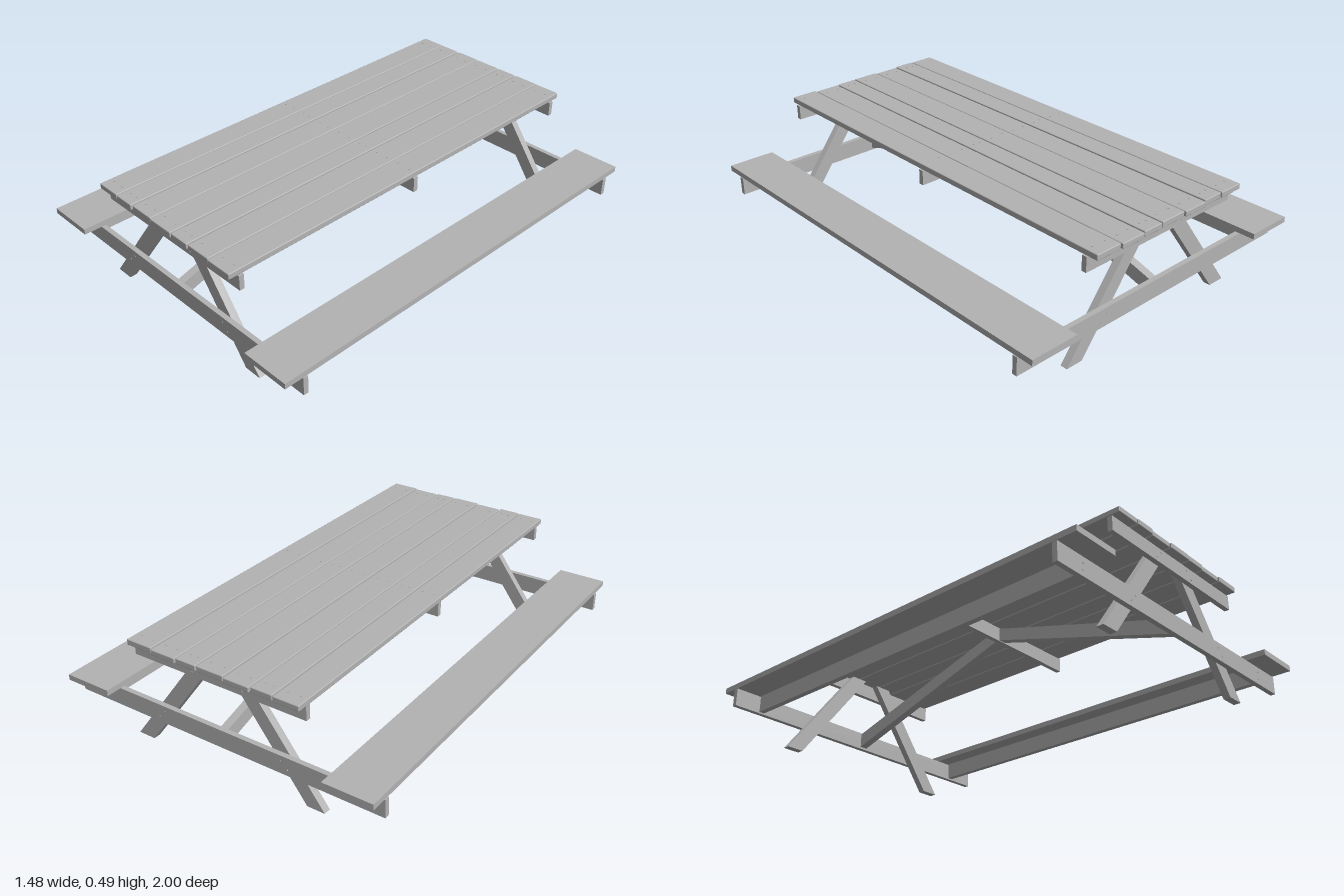
import * as THREE from 'three';
import { RoundedBoxGeometry } from 'three/addons/geometries/RoundedBoxGeometry.js';

export function createModel() {
  const table = new THREE.Group();
  table.name = 'picnicTable';
  const wood = new THREE.MeshStandardMaterial({ color: 0xb3b3b3 });
  wood.name = 'weathered grey wood';

  const add = (name, geometry) => {
    const mesh = new THREE.Mesh(geometry, wood);
    mesh.name = name;
    table.add(mesh);
    return mesh;
  };

  // Box given by its limits on each axis
  const board = (name, x0, x1, y0, y1, z0, z1, radius = 0) => {
    const size = [x1 - x0, y1 - y0, z1 - z0];
    const geometry = radius ? new RoundedBoxGeometry(...size, 2, radius) : new THREE.BoxGeometry(...size);
    add(name, geometry).position.set((x0 + x1) / 2, (y0 + y1) / 2, (z0 + z1) / 2);
  };

  // Flat outline cut from a board of the given thickness
  const cutBoard = (points, thickness) => new THREE.ExtrudeGeometry(
    new THREE.Shape(points.map(([x, y]) => new THREE.Vector2(x, y))),
    { depth: thickness, bevelEnabled: false }
  );

  // Small screw heads, facing up or along z
  const screwGeometry = new THREE.CylinderGeometry(0.004, 0.004, 0.004, 8);
  const screw = (x, y, z, alongZ) => {
    const mesh = add('screw', screwGeometry);
    mesh.position.set(x, y, z);
    if (alongZ) mesh.rotation.x = Math.PI / 2;
  };

  const shift = -0.005; // the frame sits slightly towards the back

  // Table top planks of uneven width, with slightly uneven ends
  const seams = [-0.416, -0.297, -0.196, -0.074, 0.056, 0.156, 0.278, 0.405];
  for (let i = 0; i < 7; i++) {
    const x0 = seams[i] + 0.0025, x1 = seams[i + 1] - 0.0025;
    const wobble = 0.003 * Math.sin(i * 2.3);
    const top = 0.491 + wobble * 0.4;
    board('tabletopPlank', x0, x1, 0.466, top, -0.974 + wobble, 0.954 + wobble, 0.004);
    for (const z of [-0.92, shift, 0.905])
      for (const x of [x0 + 0.03, x1 - 0.03]) screw(x, top, z);
  }

  // Benches with a rail on edge below each seat
  for (const s of [-1, 1]) {
    const span = (a, b) => (s > 0 ? [a, b] : [-b, -a]);
    board('benchSeat', ...span(0.52, 0.738), 0.206, 0.231, -1, 1);
    board('benchRail', ...span(0.59, 0.615), 0.13, 0.206, -0.9 + shift, 0.9 + shift);
  }

  // End frames: top batten, seat beam and splayed legs
  for (const end of [-1, 1]) {
    const zRange = (a, b) => [end * (end > 0 ? a : b) + shift, end * (end > 0 ? b : a) + shift];
    board('topBatten', -0.41, 0.41, 0.402, 0.467, ...zRange(0.9, 0.922));
    board('seatBeam', -0.74, 0.74, 0.123, 0.203, ...zRange(0.9, 0.922));
    for (const s of [-1, 1]) {
      const leg = cutBoard([[s * 0.385, 0], [s * 0.465, 0], [s * 0.115, 0.467], [s * 0.035, 0.467]], 0.032);
      add('leg', leg).position.z = zRange(0.868, 0.9)[0];
      const face = end * 0.922 + shift;
      for (const d of [-0.015, 0.015]) {
        screw(s * (0.105 - d), 0.435 + d, face, true);
        screw(s * (0.3 - d), 0.163 + d, face, true);
        screw(s * 0.6, 0.163 + d, face, true);
      }
    }
  }

  // Middle batten below the table top
  board('middleBatten', -0.41, 0.41, 0.402, 0.467, -0.011 + shift, 0.011 + shift);

  // Diagonal braces from the middle batten down to the seat beams
  for (const end of [-1, 1]) {
    const brace = cutBoard(
      [[end * 0.011, 0.406], [end * 0.9, 0.133], [end * 0.9, 0.198], [end * 0.011, 0.463]], 0.036
    );
    const mesh = add('diagonalBrace', brace);
    mesh.rotation.y = -Math.PI / 2;
    mesh.position.set(0.018, 0, shift);
  }

  return table;
}
